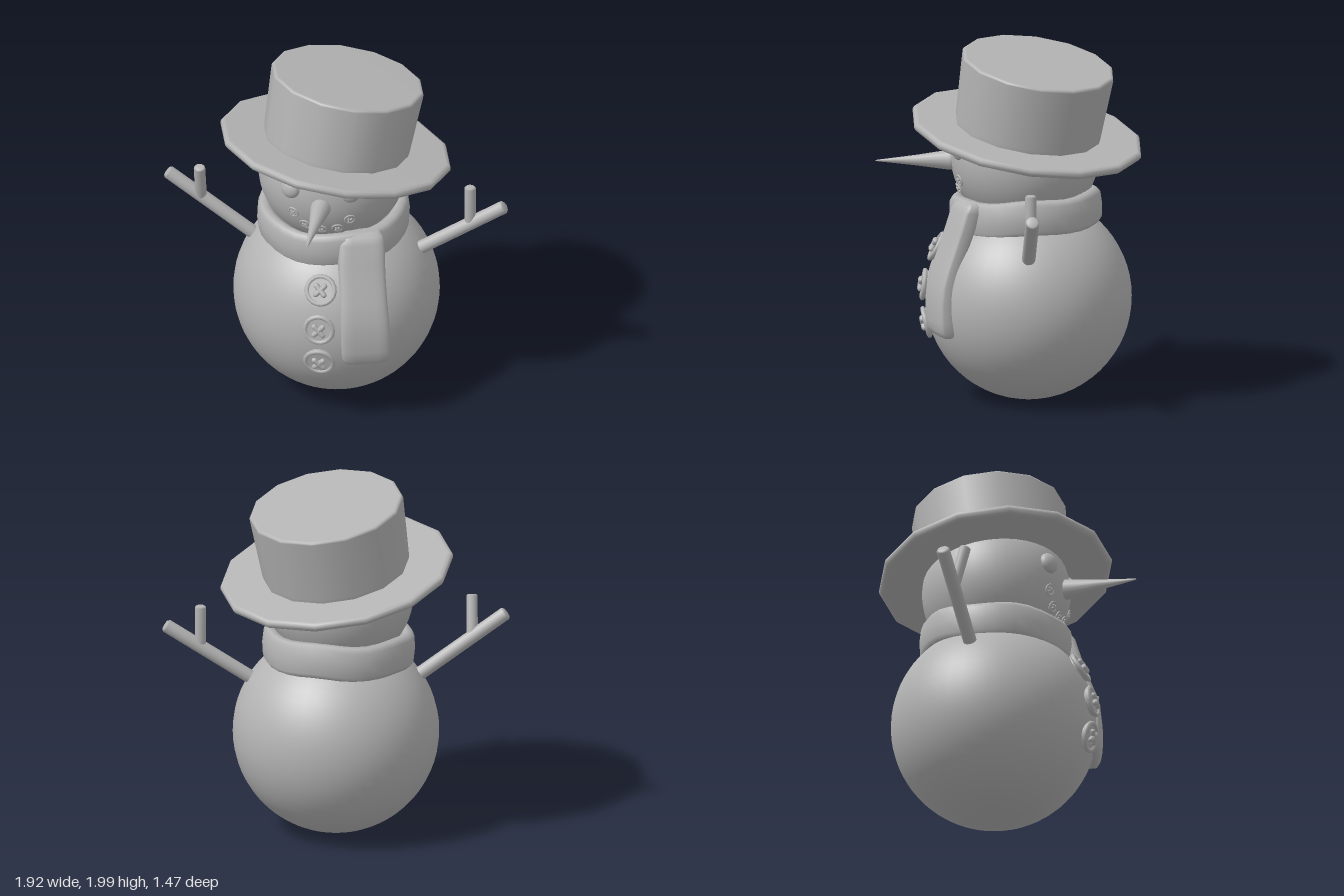
import * as THREE from 'three';

const clay = new THREE.MeshStandardMaterial({ color: 0xb4b4b4 });
clay.name = 'plain grey';

const v = (x, y, z) => new THREE.Vector3(x, y, z);

function add(parent, name, geometry, x = 0, y = 0, z = 0) {
  const mesh = new THREE.Mesh(geometry, clay);
  mesh.name = name;
  mesh.position.set(x, y, z);
  parent.add(mesh);
  return mesh;
}

// Closed rod between two points with softly bevelled ends
function rod(parent, name, from, to, r) {
  const h = from.distanceTo(to), b = r * 0.25;
  const profile = [[0, 0], [r - b, 0], [r, b], [r, h - b], [r - b, h], [0, h]].map(p => new THREE.Vector2(...p));
  const mesh = add(parent, name, new THREE.LatheGeometry(profile, 14), from.x, from.y, from.z);
  mesh.quaternion.setFromUnitVectors(v(0, 1, 0), to.clone().sub(from).normalize());
  return mesh;
}

// Round button with a raised rim and crossed threads, facing away from a ball's centre
function button(parent, name, position, centre, r) {
  const g = new THREE.Group();
  g.name = name;
  g.position.copy(position);
  g.lookAt(position.clone().multiplyScalar(2).sub(centre));
  add(g, 'buttonRim', new THREE.TorusGeometry(r * 0.86, r * 0.15, 8, 18));
  const disc = add(g, 'buttonDisc', new THREE.CylinderGeometry(r * 0.88, r * 0.88, r * 0.3, 18), 0, 0, -r * 0.1);
  disc.rotation.x = Math.PI / 2;
  for (const a of [0.75, -0.75]) {
    const thread = add(g, 'buttonThread', new THREE.CapsuleGeometry(r * 0.17, r * 0.75, 4, 8), 0, 0, r * 0.2);
    thread.rotation.z = a;
  }
  parent.add(g);
}

// Surface through rounded-rectangle sections: [y, x, z, halfWidth, halfThickness]
function strip(sections, yaw, sides = 28) {
  const pos = [], index = [];
  const soft = c => Math.sign(c) * Math.sqrt(Math.abs(c));
  for (const [y, x, z, w, d] of sections) {
    for (let i = 0; i < sides; i++) {
      const t = (i / sides) * Math.PI * 2;
      const a = w * soft(Math.cos(t)), b = d * soft(Math.sin(t));
      pos.push(x + a * Math.cos(yaw) + b * Math.sin(yaw), y, z - a * Math.sin(yaw) + b * Math.cos(yaw));
    }
  }
  for (let s = 0; s < sections.length - 1; s++) {
    for (let i = 0; i < sides; i++) {
      const a = s * sides + i, b = s * sides + (i + 1) % sides;
      index.push(a, b, a + sides, b, b + sides, a + sides);
    }
  }
  const g = new THREE.BufferGeometry();
  g.setAttribute('position', new THREE.Float32BufferAttribute(pos, 3));
  g.setIndex(index);
  g.computeVertexNormals();
  return g;
}

export function createModel() {
  const model = new THREE.Group();
  model.name = 'snowman';
  const bodyCentre = v(0, 0.58, -0.1), headCentre = v(-0.02, 1.38, -0.08);

  // Snowballs
  add(model, 'body', new THREE.SphereGeometry(0.572, 48, 32), ...bodyCentre);
  add(model, 'head', new THREE.SphereGeometry(0.412, 40, 28), ...headCentre);

  // Eyes
  for (const x of [-0.2, 0.135]) {
    const eye = add(model, 'eye', new THREE.SphereGeometry(0.058, 20, 14), x, 1.44, 0.285);
    eye.lookAt(v(x * 2 - headCentre.x, 1.5, 0.65));
    eye.scale.set(1, 1.03, 0.7);
  }

  // Nose
  rodCone(model);

  // Mouth
  for (const [x, y] of [[-0.185, 1.285], [-0.12, 1.21], [-0.03, 1.187], [0.06, 1.2], [0.13, 1.265]]) {
    const dx = x - headCentre.x, dy = y - headCentre.y;
    const z = headCentre.z + Math.sqrt(0.414 ** 2 - dx * dx - dy * dy);
    button(model, 'mouthButton', v(x, y, z), headCentre, 0.034);
  }

  // Front buttons
  for (const y of [0.865, 0.65, 0.435]) {
    const z = bodyCentre.z + Math.sqrt(0.585 ** 2 - (y - bodyCentre.y) ** 2);
    button(model, 'bodyButton', v(-0.015, y, z), bodyCentre, 0.09);
  }

  // Scarf band with slight waviness
  const ring = [[0.33, -0.07], [0.37, -0.1], [0.40, -0.095], [0.418, -0.07], [0.424, 0], [0.418, 0.07],
    [0.40, 0.095], [0.37, 0.1], [0.33, 0.07], [0.33, -0.07]].map(p => new THREE.Vector2(...p));
  const bandGeometry = new THREE.LatheGeometry(ring, 32);
  const p = bandGeometry.attributes.position;
  for (let i = 0; i < p.count; i++) {
    const a = Math.atan2(p.getX(i), p.getZ(i));
    p.setY(i, p.getY(i) + 0.008 * Math.sin(5 * a));
  }
  const band = add(model, 'scarfBand', bandGeometry, -0.015, 1.075, -0.085);
  band.rotation.set(0.05, 0, 0.03);

  // Hanging scarf end
  add(model, 'scarfEnd', strip([
    [1.16, 0.19, 0.235, 0, 0], [1.16, 0.19, 0.235, 0.09, 0.03], [1.145, 0.19, 0.24, 0.115, 0.05],
    [1.11, 0.19, 0.255, 0.128, 0.058], [1.0, 0.195, 0.29, 0.13, 0.056], [0.9, 0.205, 0.325, 0.13, 0.055],
    [0.8, 0.215, 0.36, 0.132, 0.055], [0.7, 0.225, 0.39, 0.136, 0.054], [0.6, 0.232, 0.402, 0.14, 0.052],
    [0.5, 0.235, 0.4, 0.139, 0.052], [0.45, 0.235, 0.393, 0.135, 0.05], [0.42, 0.235, 0.387, 0.122, 0.04],
    [0.41, 0.235, 0.383, 0.1, 0.024], [0.41, 0.235, 0.383, 0, 0]], 0.3));

  // Twig arms
  rod(model, 'rightArm', v(-0.45, 0.89, -0.085), v(-0.945, 1.255, -0.085), 0.038);
  rod(model, 'rightTwig', v(-0.755, 1.1, -0.085), v(-0.755, 1.34, -0.015), 0.032);
  rod(model, 'leftArm', v(0.47, 0.885, -0.08), v(0.945, 1.195, -0.08), 0.038);
  rod(model, 'leftTwig', v(0.75, 1.08, -0.08), v(0.75, 1.305, -0.08), 0.032);

  // Tilted fourteen-sided hat
  const hat = new THREE.Group();
  hat.name = 'hat';
  hat.position.set(-0.005, 1.5, -0.09);
  hat.quaternion.setFromUnitVectors(v(0, 1, 0), v(0.149, 1, -0.15).normalize());
  const turned = points => new THREE.LatheGeometry(points.map(q => new THREE.Vector2(...q)), 14, Math.PI / 14);
  add(hat, 'brim', turned([[0, -0.025], [0.62, -0.025], [0.64, -0.02], [0.651, -0.005], [0.651, 0.01],
    [0.643, 0.022], [0.625, 0.027], [0, 0.027]]));
  add(hat, 'crown', turned([[0.405, 0], [0.408, 0.035], [0.411, 0.05], [0.43, 0.405], [0.428, 0.414],
    [0.42, 0.42], [0.41, 0.421], [0, 0.421]]));
  model.add(hat);

  return model;
}

// Long carrot nose pointing forward
function rodCone(parent) {
  const from = v(-0.025, 1.35, 0.3), to = v(-0.045, 1.345, 0.75);
  const profile = [[0, 0], [0.045, 0], [0.056, 0.02], [0.056, 0.04], [0.03, 0.22], [0.004, 0.44], [0, 0.45]];
  const nose = add(parent, 'nose', new THREE.LatheGeometry(profile.map(q => new THREE.Vector2(...q)), 14), ...from);
  nose.quaternion.setFromUnitVectors(v(0, 1, 0), to.sub(from).normalize());
}
